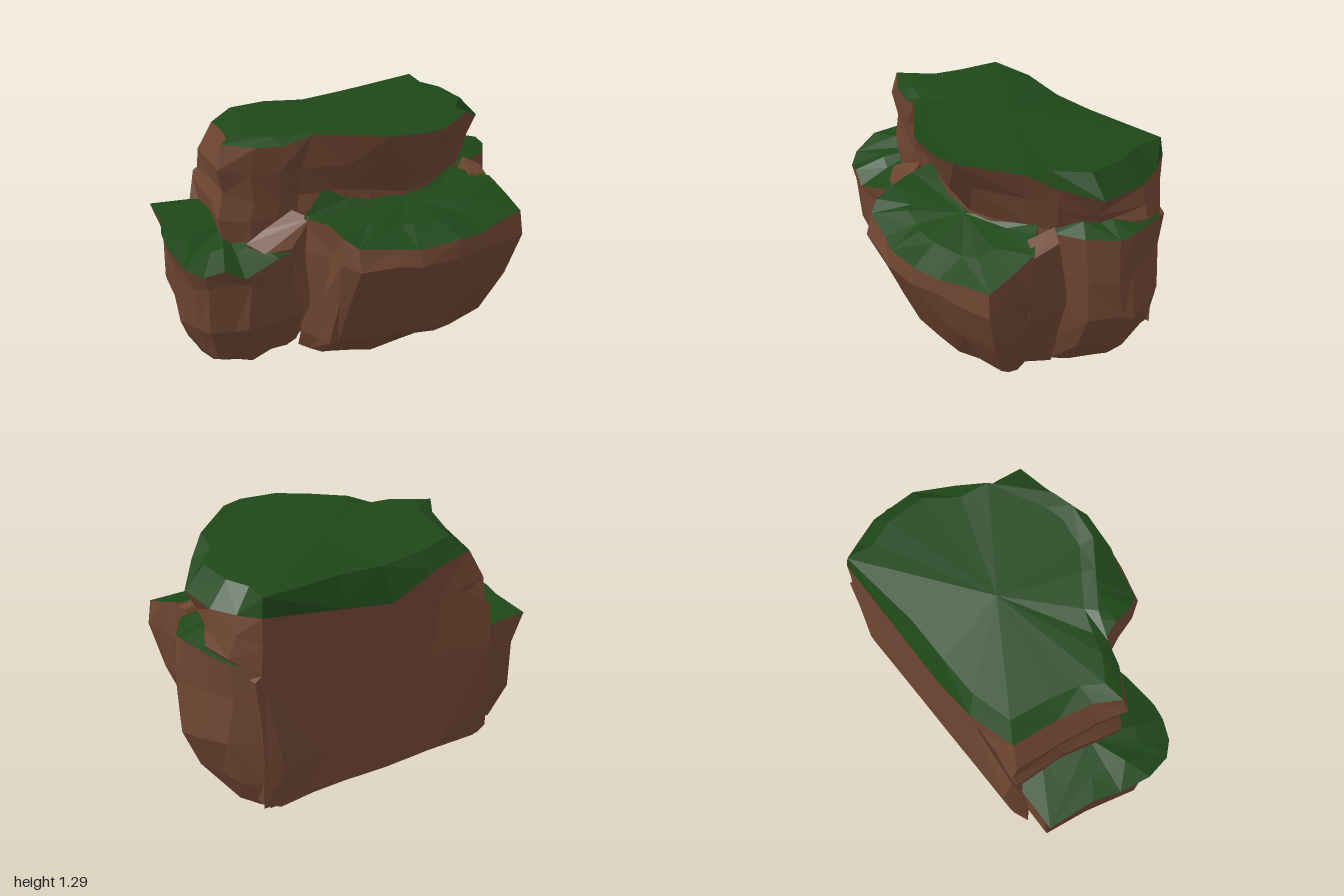
import * as THREE from 'three';
import { ConvexGeometry } from 'three/addons/geometries/ConvexGeometry.js';

const BACK = -0.615; // flat rear plane shared by the rocks

const rockMat = new THREE.MeshStandardMaterial({ color: 0x6e4531, flatShading: true });
const grassMat = new THREE.MeshStandardMaterial({ color: 0x1f4719, flatShading: true });

// Small seeded generator for the chiselled irregularity
function seeded(seed) {
  return () => {
    seed = (seed * 16807) % 2147483647;
    return seed / 2147483647 - 0.5;
  };
}

const lerp = THREE.MathUtils.lerp;

function toMesh(tris, material, name) {
  const g = new THREE.BufferGeometry();
  g.setAttribute('position', new THREE.Float32BufferAttribute(tris.flat(2), 3));
  g.computeVertexNormals();
  const mesh = new THREE.Mesh(g, material);
  mesh.name = name;
  return mesh;
}

// Wall between two rings that run counter-clockwise seen from above
function band(low, high, tris) {
  const n = low.length;
  for (let i = 0; i < n; i++) {
    const j = (i + 1) % n;
    if (i % 2) tris.push([low[i], low[j], high[j]], [low[i], high[j], high[i]]);
    else tris.push([low[i], low[j], high[i]], [low[j], high[j], high[i]]);
  }
}

function fan(ring, centre, up, tris) {
  ring.forEach((p, i) => {
    const q = ring[(i + 1) % ring.length];
    tris.push(up ? [centre, p, q] : [centre, q, p]);
  });
}

// Ring at height y, scaled from another about a pivot in plan
function scaledRing(ring, [px, pz], [y, kx, kz], rand, rough) {
  return ring.map(([x, , z]) => {
    const nz = pz + (z - pz) * kz;
    const rear = nz < -0.55;
    return [
      px + (x - px) * kx + rand() * rough,
      y + rand() * Math.min(rough, y),
      Math.max(BACK, nz + (rear ? 0 : rand() * rough)),
    ];
  });
}

// Rock walls from the top ring downward, closed underneath
function rockBody(rings, foot, name) {
  const tris = [];
  for (let i = 0; i < rings.length - 1; i++) band(rings[i + 1], rings[i], tris);
  fan(rings[rings.length - 1], foot, false, tris);
  return toMesh(tris, rockMat, name);
}

// Grass: sloping border, then a gently uneven top
function grassCap(rim, centre, insetAt, ty, rand, rough, name) {
  const tris = [];
  const inner = rim.map((p) => [
    lerp(p[0], centre[0], insetAt(p)),
    lerp(p[1], centre[1], ty) + rand() * rough,
    lerp(p[2], centre[2], insetAt(p)),
  ]);
  band(rim, inner, tris);
  fan(inner, centre, true, tris);
  return toMesh(tris, grassMat, name);
}

function boulder({ name, rim, centre, foot, pivot, levels, seed }) {
  const rand = seeded(seed);
  const group = new THREE.Group();
  group.name = name;
  const rings = [rim, ...levels.map((l) => scaledRing(rim, pivot, l, rand, 0.035))];
  group.add(rockBody(rings, foot, name + 'Rock'));
  group.add(grassCap(rim, centre, () => 0.4, 0.5, rand, 0.025, name + 'Grass'));
  return group;
}

// Faceted filler rock from a handful of corners
function wedge(name, points) {
  const mesh = new THREE.Mesh(
    new ConvexGeometry(points.map((p) => new THREE.Vector3(...p))), rockMat);
  mesh.name = name;
  return mesh;
}

// Tall main block with the overhanging brow
function mainCliff() {
  const rand = seeded(77);
  const rim = [
    [-0.53, 1.17, -0.55], [-0.57, 1.2, -0.3], [-0.62, 1.22, -0.12], [-0.7, 1.24, 0],
    [-0.55, 1.23, 0.1], [-0.42, 1.23, 0.14], [-0.28, 1.285, 0.19], [-0.1, 1.295, 0.32],
    [0.04, 1.295, 0.42], [0.24, 1.295, 0.45], [0.36, 1.29, 0.42], [0.62, 1.27, 0.2],
    [0.74, 1.2, 0.08], [0.88, 1.13, -0.1], [0.88, 1.13, -0.35], [0.82, 1.14, -0.5],
    [0.75, 1.15, BACK], [0.3, 1.08, BACK], [0, 1.03, BACK], [-0.27, 1.15, BACK],
  ];
  const neck = [
    [-0.6, 0.9, BACK], [-0.62, 0.92, -0.33], [-0.66, 0.95, -0.12], [-0.7, 0.98, 0],
    [-0.56, 0.92, 0.08], [-0.42, 0.92, 0.1], [-0.3, 0.92, 0.06], [-0.1, 0.95, 0.17],
    [0.04, 0.94, 0.21], [0.24, 0.9, 0.23], [0.38, 0.91, 0.2], [0.58, 0.92, 0.1],
    [0.68, 0.92, 0.03], [0.8, 0.95, -0.12], [0.92, 0.95, -0.36], [0.87, 0.92, -0.5],
    [0.76, 0.85, BACK], [0.3, 0.85, BACK], [0, 0.85, BACK], [-0.27, 0.85, BACK],
  ];
  const middle = rim.map((p, i) => {
    const q = neck[i];
    const jitter = p[2] < -0.5 ? 0 : 0.03;
    return [
      lerp(p[0], q[0], 0.5) * (p[0] < 0 ? 1.07 : 0.99) + rand() * jitter,
      lerp(p[1], q[1], 0.5) + rand() * 0.05,
      lerp(p[2], q[2], 0.5) + rand() * jitter,
    ];
  });
  const base = neck.map(([x, y, z]) => [Math.min(x, 0.76), y, z]);
  const lower = [[0.83, 1.05, 1], [0.55, 0.99, 0.97], [0.12, 0.98, 0.95], [0.09, 0.96, 0.92]]
    .map((l) => scaledRing(base, [0.05, BACK], l, rand, 0.02));
  const insetAt = ([x, , z]) => (x > 0.7 && z < -0.55 ? 0.02 : 0.14);
  const group = new THREE.Group();
  group.name = 'mainCliff';
  group.add(rockBody([rim, middle, neck, ...lower], [0.1, 0.05, -0.2], 'cliffRock'));
  group.add(grassCap(rim, [0.1, 1.275, -0.15], insetAt, 0.75, rand, 0.012, 'cliffGrass'));
  return group;
}

export function createModel() {
  const model = new THREE.Group();
  model.name = 'grassyCliff';
  model.add(mainCliff());

  // Rounded boulder pushing out at the front
  model.add(boulder({
    name: 'frontBoulder', seed: 1234, centre: [0.22, 0.88, 0.25], foot: [-0.03, 0, 0.08],
    pivot: [-0.3, 0],
    rim: [
      [-0.33, 0.84, 0.18], [-0.27, 0.85, 0.35], [-0.25, 0.82, 0.47], [-0.2, 0.78, 0.54],
      [0, 0.76, 0.59], [0.1, 0.75, 0.63], [0.33, 0.77, 0.65], [0.48, 0.76, 0.61],
      [0.6, 0.78, 0.57], [0.77, 0.8, 0.53], [0.77, 0.85, 0.38], [0.76, 0.9, 0.24],
      [0.65, 0.92, 0.14], [0.6, 0.94, 0.08], [0.3, 0.9, 0.05], [-0.03, 0.95, 0.12],
      [-0.2, 0.95, 0.13],
    ],
    levels: [[0.67, 1, 1.03], [0.42, 0.96, 0.87], [0.17, 0.88, 0.65], [0.04, 0.8, 0.42]],
  }));

  // Low ledge on one side
  model.add(boulder({
    name: 'sideLedge', seed: 4321, centre: [-0.65, 0.75, -0.15], foot: [-0.62, 0.04, -0.1],
    pivot: [-0.45, -0.2],
    rim: [
      [-0.55, 0.72, -0.59], [-0.89, 0.74, -0.6], [-0.92, 0.74, -0.34], [-0.97, 0.73, -0.2],
      [-1, 0.72, -0.03], [-0.97, 0.66, 0.12], [-0.9, 0.63, 0.2], [-0.8, 0.66, 0.24],
      [-0.7, 0.61, 0.27], [-0.5, 0.67, 0.24], [-0.33, 0.7, 0.2], [-0.28, 0.76, -0.2],
    ],
    levels: [[0.56, 0.9, 0.96], [0.3, 0.88, 0.93], [0.1, 0.76, 0.76], [0.06, 0.66, 0.65]],
  }));

  // Bulging buttress on the other side, with a narrow grass shelf
  model.add(boulder({
    name: 'sideButtress', seed: 999, centre: [0.65, 1, -0.15], foot: [0.62, 0, -0.26],
    pivot: [0.5, BACK],
    rim: [
      [0.45, 0.9, 0], [0.7, 0.92, 0.06], [0.86, 0.94, 0], [0.96, 0.93, -0.14],
      [0.97, 0.94, -0.23], [0.93, 0.92, -0.37], [0.87, 0.89, -0.5], [0.76, 0.88, -0.61],
      [0.45, 0.88, -0.6],
    ],
    levels: [[0.7, 1.01, 0.97], [0.45, 1.05, 0.96], [0.22, 0.86, 0.94], [0.07, 0.6, 0.88]],
  }));

  // Brown shoulder joining the front boulder to the buttress
  model.add(wedge('cornerShoulder', [
    [0.76, 0.88, 0.24], [0.78, 0.92, 0.1], [0.7, 0.96, 0.06], [0.66, 0.92, 0.2],
    [0.74, 0.5, 0.25], [0.76, 0.5, 0], [0.6, 0.1, 0.15], [0.64, 0.06, 0], [0.5, 0.5, 0],
  ]));

  // Loose rock in the corner between the ledge and the front boulder
  model.add(wedge('cornerRubble', [
    [-0.62, 0.72, 0.1], [-0.52, 0.78, 0.1], [-0.36, 0.86, 0.1], [-0.3, 0.84, 0.2],
    [-0.42, 0.7, 0.22], [-0.55, 0.68, 0.18], [-0.34, 0.1, 0.08], [-0.28, 0.3, 0.19],
    [-0.4, 0.5, 0],
  ]));

  // Shallow swellings of the rear face
  model.add(wedge('rearSeam', [
    [-0.6, 0.66, -0.675], [-0.62, 0.88, -0.63], [-0.61, 0.3, -0.64], [-0.25, 0.66, BACK],
    [-0.32, 1.05, BACK], [-0.32, 0.1, BACK], [-0.6, 0.09, -0.61], [-0.68, 0.1, -0.58],
    [-0.67, 0.68, -0.59], [-0.5, 0.6, -0.4],
  ]));
  model.add(wedge('rearSwelling', [
    [0.65, 0.3, -0.64], [0.76, 0.1, -0.61], [0.76, 0.9, -0.61], [0.4, 0.3, BACK],
    [0.5, 0.1, -0.61], [0.6, 0.4, -0.5],
  ]));

  return model;
}
